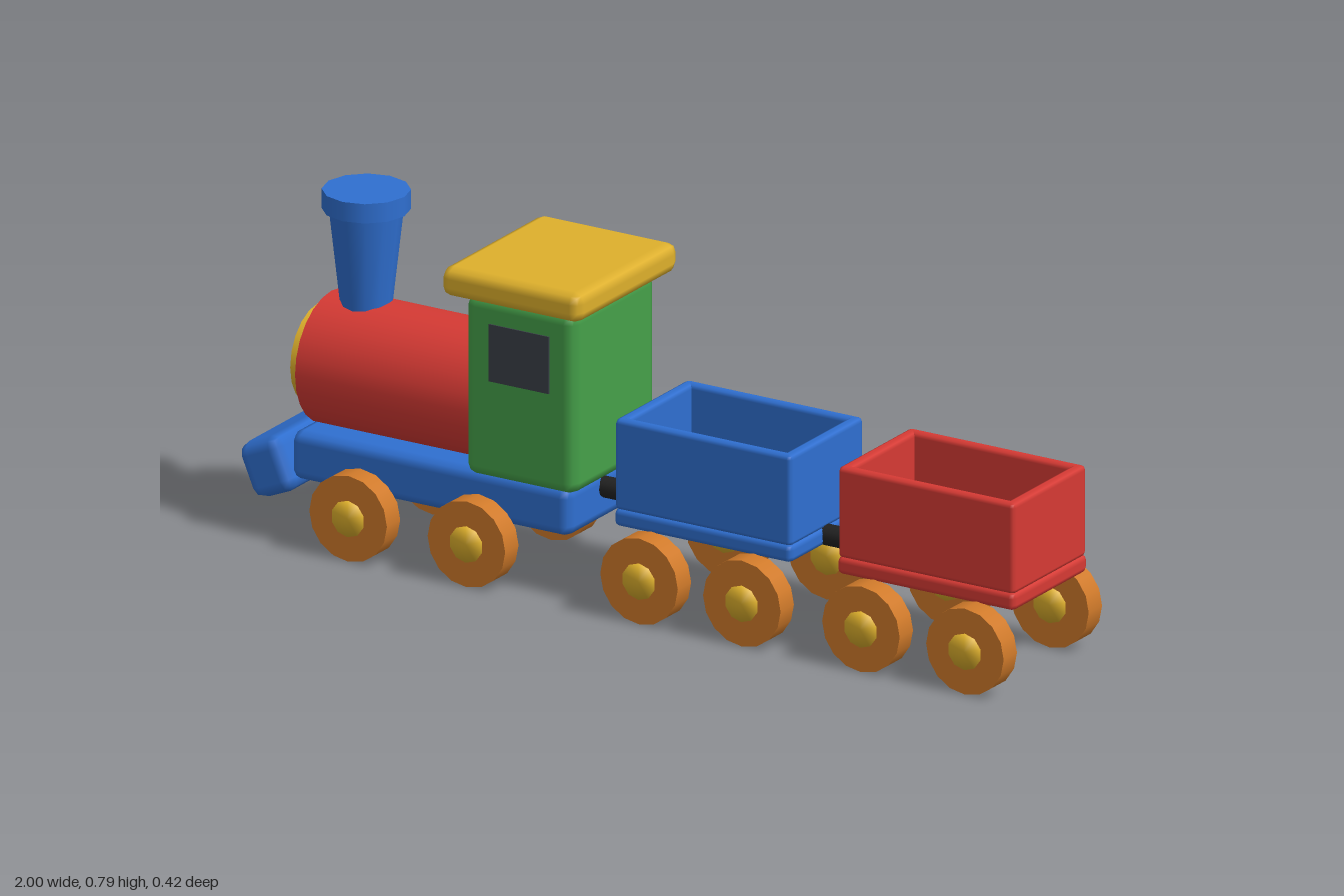
import * as THREE from 'three';
import { RoundedBoxGeometry } from 'three/addons/geometries/RoundedBoxGeometry.js';
import { mergeVertices } from 'three/addons/utils/BufferGeometryUtils.js';

const mat = (name, color) => {
  const m = new THREE.MeshStandardMaterial({ color });
  m.name = name;
  return m;
};

export function createModel() {
  const train = new THREE.Group();
  train.name = 'toyTrain';

  const red = mat('red', 0xd63a34);
  const blue = mat('blue', 0x2f6fd0);
  const green = mat('green', 0x45a049);
  const yellow = mat('yellow', 0xdeb02c);
  const orange = mat('orange', 0xd07a2a);
  const glass = mat('darkGlass', 0x3a3f48);
  const black = mat('black', 0x222222);

  const add = (parent, name, geometry, material, x, y, z) => {
    const mesh = new THREE.Mesh(geometry, material);
    mesh.name = name;
    mesh.position.set(x, y, z);
    parent.add(mesh);
    return mesh;
  };
  // Box with a single-step bevel
  const block = (w, h, d, r) => new RoundedBoxGeometry(w, h, d, 1, r);
  // Cylinder lying along x or z
  const alongX = (r, length, sides) => new THREE.CylinderGeometry(r, r, length, sides).rotateZ(Math.PI / 2);
  const alongZ = (r, length, sides) => new THREE.CylinderGeometry(r, r, length, sides).rotateX(Math.PI / 2);
  // Shared normals across all edges for a soft, rounded look
  const soften = (geometry) => {
    geometry.deleteAttribute('uv');
    geometry.deleteAttribute('normal');
    const g = mergeVertices(geometry);
    g.computeVertexNormals();
    return g;
  };

  // Wheels with hubs, mirrored on both sides
  const wheelGeometry = alongZ(0.1, 0.055, 16);
  const hubGeometry = soften(alongZ(0.042, 0.062, 10));
  const addWheels = (parent, xs) => {
    for (const x of xs) {
      for (const side of [-1, 1]) {
        const wheel = new THREE.Group();
        wheel.name = side > 0 ? 'leftWheel' : 'rightWheel';
        wheel.position.set(x, 0.1, side * 0.1755);
        add(wheel, 'tyre', wheelGeometry, orange, 0, 0, 0);
        add(wheel, 'hub', hubGeometry, yellow, 0, 0, 0);
        parent.add(wheel);
      }
    }
  };

  // Locomotive
  const engine = new THREE.Group();
  engine.name = 'engine';
  train.add(engine);
  add(engine, 'frame', block(0.72, 0.115, 0.3, 0.025), blue, -0.515, 0.195, 0);
  add(engine, 'bumper', block(0.115, 0.13, 0.34, 0.028), blue, -0.929, 0.158, 0).rotation.z = 0.4;
  add(engine, 'boiler', alongX(0.15, 0.47, 24), red, -0.625, 0.385, 0);
  add(engine, 'boilerFront', alongX(0.114, 0.04, 20), yellow, -0.875, 0.385, 0);
  add(engine, 'chimney', new THREE.CylinderGeometry(0.083, 0.055, 0.25, 12), blue, -0.77, 0.625, 0);
  add(engine, 'chimneyCap', new THREE.CylinderGeometry(0.098, 0.098, 0.045, 12), blue, -0.77, 0.767, 0);
  add(engine, 'cab', block(0.285, 0.425, 0.344, 0.028), green, -0.27, 0.459, 0);
  add(engine, 'roof', block(0.36, 0.07, 0.42, 0.025), yellow, -0.272, 0.7, 0);
  for (const side of [-1, 1]) {
    add(engine, 'cabWindow', new THREE.BoxGeometry(0.155, 0.133, 0.006), glass, -0.268, 0.545, side * 0.172);
  }
  addWheels(engine, [-0.69, -0.385]);

  // Open wagons: base, floor and four walls
  const addWagon = (name, centreX, material, wheelXs) => {
    const wagon = new THREE.Group();
    wagon.name = name;
    train.add(wagon);
    const length = 0.455, width = 0.302, wall = 0.028;
    add(wagon, 'base', block(length + 0.004, 0.043, 0.308, 0.014), material, centreX, 0.215, 0);
    add(wagon, 'floor', new THREE.BoxGeometry(length - wall, 0.02, width - wall), material, centreX, 0.243, 0);
    for (const side of [-1, 1]) {
      add(wagon, 'sideWall', block(length, 0.212, wall, 0.011), material,
        centreX, 0.338, side * (width - wall) / 2);
      add(wagon, 'endWall', block(wall, 0.212, width, 0.011), material,
        centreX + side * (length - wall) / 2, 0.338, 0);
    }
    addWheels(wagon, wheelXs);
  };
  addWagon('frontWagon', 0.191, blue, [0.06, 0.325]);
  addWagon('rearWagon', 0.766, red, [0.632, 0.9]);

  // Couplings between the cars
  for (const x of [-0.1, 0.478]) {
    add(train, 'coupling', alongX(0.024, 0.15, 10), black, x, 0.216, 0);
  }

  return train;
}
